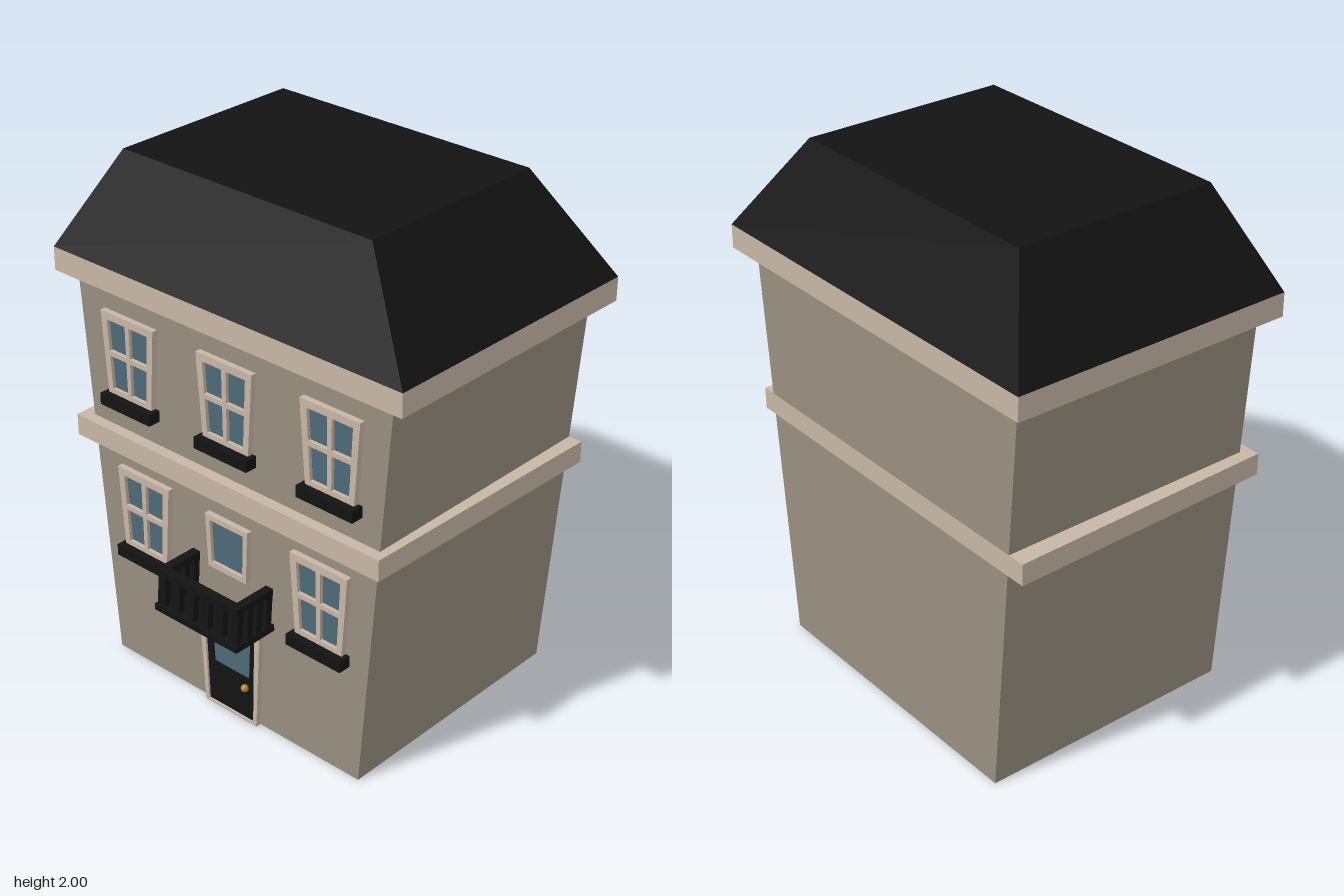
import * as THREE from 'three';

const mat = (color) => new THREE.MeshStandardMaterial({ color, flatShading: true });
const WALL = mat(0x978f7f), TRIM = mat(0xc7b6a5), BLACK = mat(0x131313);
const GLASS = mat(0x4d6877), BRASS = mat(0xb08024);
const FRONT = 0.445;

function add(parent, name, geometry, material) {
  const mesh = new THREE.Mesh(geometry, material);
  mesh.name = name;
  parent.add(mesh);
  return mesh;
}

// Box whose bottom and top are separate rectangles [x0, x1, z0, z1]
function loft(y0, y1, bottom, top = bottom) {
  const g = new THREE.BoxGeometry(1, 1, 1);
  const p = g.attributes.position;
  for (let i = 0; i < p.count; i++) {
    const up = p.getY(i) > 0, r = up ? top : bottom;
    p.setXYZ(i, r[p.getX(i) > 0 ? 1 : 0], up ? y1 : y0, r[p.getZ(i) > 0 ? 3 : 2]);
  }
  g.computeVertexNormals();
  return g;
}

// Upright trapezoid: half widths b (bottom) and t (top); u in -1..1, v in 0..1 pick a part of it
function trapezoid(Type, b, t, y0, y1, u0 = -1, u1 = 1, v0 = 0, v1 = 1) {
  const at = (u, v) => new THREE.Vector2(u * (b + (t - b) * v), y0 + (y1 - y0) * v);
  return new Type([at(u0, v0), at(u1, v0), at(u1, v1), at(u0, v1)]);
}

const slab = (shape, depth) => new THREE.ExtrudeGeometry(shape, { depth, bevelEnabled: false });

// Flared window: frame with cut-out panes, glass behind, optional sill
function makeWindow(name, x, y0, y1, b, t, panes, sill) {
  const group = new THREE.Group();
  group.name = name;
  group.position.set(x, 0, FRONT);
  const frame = trapezoid(THREE.Shape, b, t, y0, y1);
  const ranges = panes === 2 ? [[-0.78, -0.08], [0.08, 0.78]] : [[-0.8, 0.8]];
  const rows = panes === 2 ? [[0.06, 0.47], [0.53, 0.91]] : [[0.1, 0.9]];
  for (const [u0, u1] of ranges)
    for (const [v0, v1] of rows)
      frame.holes.push(trapezoid(THREE.Path, b, t, y0, y1, u0, u1, v0, v1));
  add(group, 'windowFrame', slab(frame, 0.022), TRIM);
  add(group, 'windowGlass', slab(trapezoid(THREE.Shape, b, t, y0, y1, -0.9, 0.9, 0.03, 0.96), 0.008), GLASS);
  if (sill) add(group, 'windowSill', loft(y0 - 0.045, y0, [-0.125, 0.125, 0, 0.05]), BLACK);
  return group;
}

function makeDoor() {
  const door = new THREE.Group();
  door.name = 'door';
  door.position.set(-0.003, 0, FRONT);
  const frame = trapezoid(THREE.Shape, 0.128, 0.15, 0, 0.395);
  frame.holes.push(trapezoid(THREE.Path, 0.112, 0.124, 0.01, 0.365));
  add(door, 'doorFrame', slab(frame, 0.022), TRIM);
  const leaf = trapezoid(THREE.Shape, 0.113, 0.125, 0.008, 0.367);
  leaf.holes.push(trapezoid(THREE.Path, 0.088, 0.096, 0.185, 0.347));
  add(door, 'doorLeaf', slab(leaf, 0.014), BLACK);
  add(door, 'doorGlass', slab(trapezoid(THREE.Shape, 0.09, 0.1, 0.18, 0.35), 0.008), GLASS);
  const knob = add(door, 'doorKnob', new THREE.SphereGeometry(0.015, 12, 8), BRASS);
  knob.position.set(0.073, 0.145, 0.022);
  return door;
}

function makeBalcony() {
  const balcony = new THREE.Group();
  balcony.name = 'balcony';
  add(balcony, 'balconyFloor', loft(0.447, 0.472, [-0.205, 0.2, FRONT, 0.635]), BLACK);
  add(balcony, 'frontRail', loft(0.595, 0.62, [-0.2, 0.197, 0.59, 0.627]), BLACK);
  for (const s of [-1, 1])
    add(balcony, 'sideRail', loft(0.595, 0.62, [s * 0.18 - 0.017, s * 0.18 + 0.017, FRONT, 0.6]), BLACK);
  // Balusters lean slightly outward at the foot
  const bar = (x, z) => add(balcony, 'baluster', loft(0.47, 0.597,
    [x - 0.018, x + 0.018, z - 0.008, z + 0.018], [x - 0.018, x + 0.018, z - 0.018, z + 0.008]), BLACK);
  for (let i = 0; i < 6; i++) bar(-0.18 + i * 0.0715, 0.608);
  for (const x of [-0.18, 0.178]) for (const z of [0.465, 0.513, 0.56]) bar(x, z);
  return balcony;
}

export function createModel() {
  const house = new THREE.Group();
  house.name = 'townhouse';

  // Walls flare outward towards the roof
  add(house, 'walls', loft(0, 1.55, [-0.61, 0.597, -0.582, FRONT], [-0.732, 0.728, -0.582, FRONT]), WALL);

  // Belt course around the front and sides, wider at the back
  const belt = new THREE.Shape([[-0.757, -0.582], [-0.735, 0.488], [0.712, 0.488], [0.735, -0.582]]
    .map(([x, z]) => new THREE.Vector2(x, -z)));
  const beltMesh = add(house, 'beltCourse', slab(belt, 0.083), TRIM);
  beltMesh.rotation.x = -Math.PI / 2;
  beltMesh.position.y = 0.9;

  // Eaves and flat-topped hip roof
  const eave = [-0.8, 0.8, -0.635, 0.492];
  add(house, 'eaves', loft(1.54, 1.63, eave), TRIM);
  add(house, 'roof', loft(1.63, 2, eave, [-0.6, 0.525, -0.47, 0.325]), BLACK);

  for (const x of [-0.47, 0, 0.477])
    house.add(makeWindow('upperWindow', x, 1.125, 1.442, 0.108, 0.131, 2, true));
  for (const x of [-0.422, 0.427])
    house.add(makeWindow('lowerWindow', x, 0.508, 0.828, 0.108, 0.131, 2, true));
  house.add(makeWindow('balconyWindow', -0.006, 0.6, 0.814, 0.092, 0.103, 1, false));
  house.add(makeDoor(), makeBalcony());
  return house;
}
